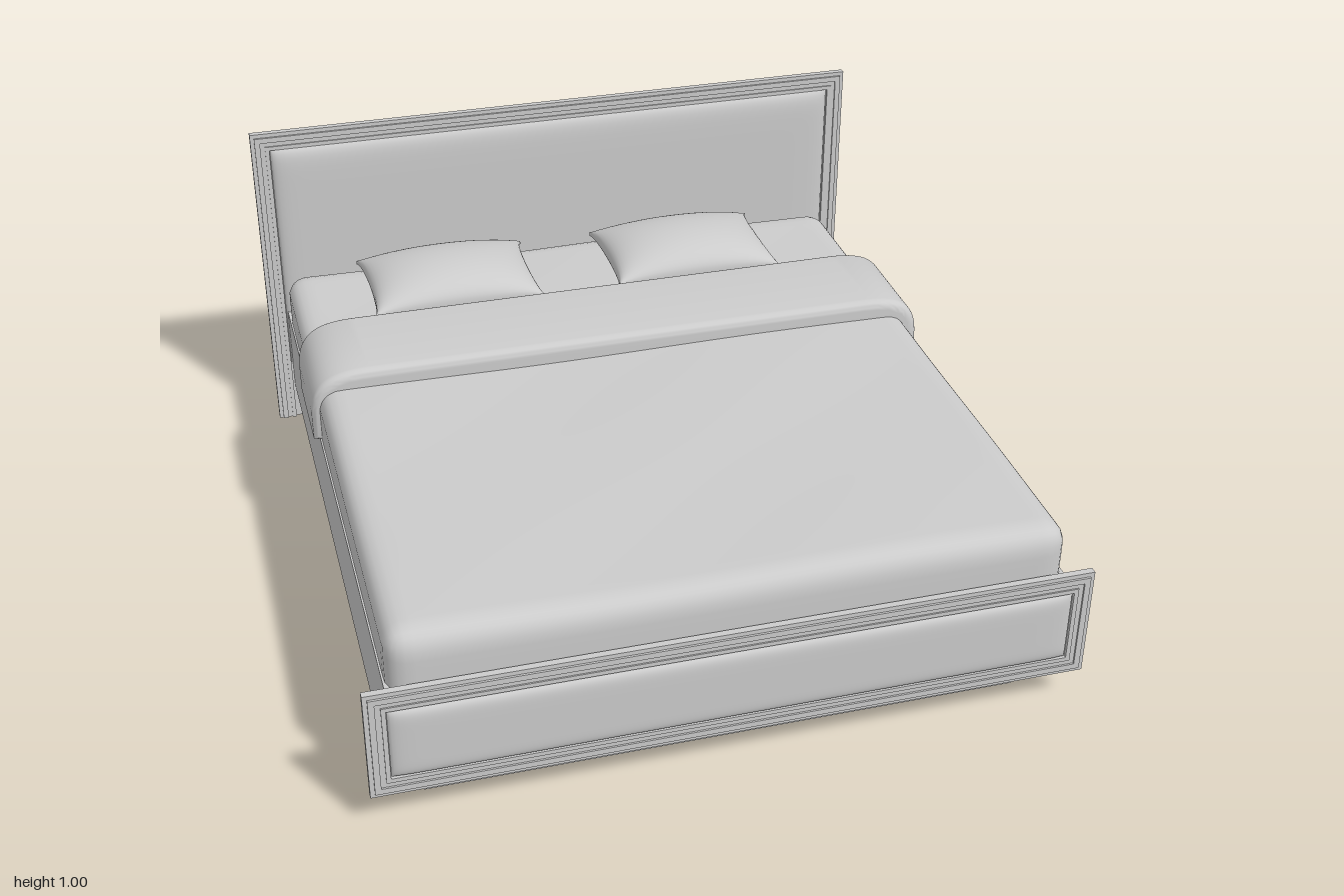
import * as THREE from 'three';
import { mergeVertices, toCreasedNormals } from 'three/addons/utils/BufferGeometryUtils.js';

const material = new THREE.MeshStandardMaterial({ color: 0xcccccc });
const thinMaterial = new THREE.MeshStandardMaterial({ color: 0xcccccc, side: THREE.DoubleSide });

function add(parent, name, geometry, x = 0, y = 0, z = 0, mat = material) {
  const mesh = new THREE.Mesh(geometry, mat);
  mesh.name = name;
  mesh.position.set(x, y, z);
  parent.add(mesh);
  return mesh;
}

// Box given by its minimum and maximum corners
function box(parent, name, [x0, y0, z0], [x1, y1, z1]) {
  return add(parent, name, new THREE.BoxGeometry(x1 - x0, y1 - y0, z1 - z0),
    (x0 + x1) / 2, (y0 + y1) / 2, (z0 + z1) / 2);
}

// Merge split vertices so a reshaped surface shades smoothly
function smooth(geometry) {
  geometry.deleteAttribute('normal');
  geometry.deleteAttribute('uv');
  const merged = mergeVertices(geometry, 1e-5);
  merged.computeVertexNormals();
  return merged;
}

function reshape(geometry, rule) {
  const pos = geometry.attributes.position;
  const v = new THREE.Vector3();
  for (let i = 0; i < pos.count; i++) {
    rule(v.fromBufferAttribute(pos, i));
    pos.setXYZ(i, v.x, v.y, v.z);
  }
  return smooth(geometry);
}

// One moulding strip between two insets; an open one runs down to the floor
function moulding(w, y0, y1, a, b, depth, open) {
  const o = w - a, i = w - b;
  const pts = (list) => list.map(([x, y]) => new THREE.Vector2(x, y));
  let shape;
  if (open) {
    shape = new THREE.Shape(pts([[-o, y0], [-i, y0], [-i, y1 - b], [i, y1 - b],
      [i, y0], [o, y0], [o, y1 - a], [-o, y1 - a]]));
  } else {
    shape = new THREE.Shape(pts([[-o, y0 + a], [o, y0 + a], [o, y1 - a], [-o, y1 - a]]));
    shape.holes.push(new THREE.Path(pts([[-i, y0 + b], [-i, y1 - b], [i, y1 - b], [i, y0 + b]])));
  }
  return new THREE.ExtrudeGeometry(shape, { depth, bevelEnabled: false });
}

// Upholstered panel: flat in the middle, rounding down to its border
function pad(w, h, depth, px, py) {
  const ease = (t) => Math.sin(t * Math.PI / 2);
  return reshape(new THREE.PlaneGeometry(2, 2, 48, 32), (v) => {
    const u = ease(v.x), t = ease(v.y);
    const f = Math.max(0, (1 - Math.abs(u) ** px) * (1 - Math.abs(t) ** py));
    v.set(u * w / 2, t * h / 2, depth * Math.sqrt(f));
  });
}

// Framed board with stepped mouldings and a padded centre
function board(name, w, y0, y1, z, open, padY, padDepth, py) {
  const group = new THREE.Group();
  group.name = name;
  box(group, name + 'Back', [-w, y0, 0], [w, y1, 0.015]);
  const strips = [[0, 0.012, 0.019], [0.012, 0.028, 0.025], [0.028, 0.042, 0.02], [0.042, 0.054, 0.024]];
  strips.forEach(([a, b, d]) => add(group, name + 'Moulding', moulding(w, y0, y1, a, b, d, open)));
  const padW = 2 * (w - 0.056);
  add(group, name + 'Pad', pad(padW, padY[1] - padY[0], padDepth, 34, py),
    0, (padY[0] + padY[1]) / 2, 0.015, thinMaterial);
  group.position.z = z;
  return group;
}

// Mattress with rounded edges, gentle waves and a lower head end
function mattressGeometry() {
  const half = new THREE.Vector3(0.88, 0.125, 0.963), r = 0.06;
  const lim = half.clone().subScalar(r), inner = new THREE.Vector3();
  const g = new THREE.BoxGeometry(half.x * 2, half.y * 2, half.z * 2, 72, 10, 80);
  return reshape(g, (v) => {
    inner.copy(v).clamp(lim.clone().negate(), lim);
    v.sub(inner).setLength(r).add(inner);
    if (v.y > 0) {
      const head = THREE.MathUtils.smoothstep(-v.z, 0.3, 0.6);
      v.y += (v.y / half.y) * (0.004 * Math.sin(v.x * 5 + v.z * 3) * Math.cos(v.z * 4) - 0.018 * head);
    }
  });
}

// Folded cover draped over the mattress
function throwGeometry() {
  const s = new THREE.Shape();
  s.moveTo(-0.912, 0.39);
  s.lineTo(0.912, 0.39);
  s.lineTo(0.912, 0.46);
  s.bezierCurveTo(0.912, 0.56, 0.87, 0.603, 0.74, 0.603);
  s.lineTo(-0.74, 0.603);
  s.bezierCurveTo(-0.87, 0.603, -0.912, 0.56, -0.912, 0.46);
  const bevel = 0.026;
  const g = new THREE.ExtrudeGeometry(s, {
    depth: 0.33 - 2 * bevel, curveSegments: 16, bevelSegments: 6,
    bevelSize: bevel, bevelThickness: bevel, bevelOffset: -bevel,
  });
  return toCreasedNormals(g, 0.6);
}

// Pillow: two bulging sheets joined at a seam with pinched sides
function pillowGeometry() {
  const n = 28;
  return reshape(new THREE.BoxGeometry(2, 2, 2, n, 2, n), (v) => {
    const side = v.y;
    const u = Math.sin(v.x * Math.PI / 2), t = Math.sin(v.z * Math.PI / 2);
    const eu = Math.max(0, 1 - u * u), et = Math.max(0, 1 - t * t);
    const puff = Math.pow(eu * et, 0.45);
    v.x = 0.26 * u * (1 - 0.07 * Math.sqrt(et));
    v.z = 0.185 * t * (1 - 0.09 * Math.sqrt(eu));
    v.y = side * (side > 0 ? 0.082 : 0.045) * puff + side * 0.006;
  });
}

export function createModel() {
  const bed = new THREE.Group();
  bed.name = 'bed';

  // Headboard and footboard
  bed.add(board('headboard', 0.945, 0, 1, -1, true, [0.2, 0.946], 0.023, 16));
  bed.add(board('footboard', 0.945, 0.1, 0.418, 0.967, false, [0.156, 0.362], 0.018, 8));

  // Side rails, plinth walls and the brackets between them
  for (const s of [-1, 1]) {
    const rail = (name, a, b, y0, y1, z0, z1) =>
      box(bed, name, [Math.min(s * a, s * b), y0, z0], [Math.max(s * a, s * b), y1, z1]);
    rail('sideRail', 0.862, 0.885, 0.11, 0.39, -0.985, 0.967);
    rail('plinthSide', 0.78, 0.8, 0, 0.37, -0.985, 0.88);
    for (const z of [-0.78, -0.2, 0.8]) rail('bracket', 0.8, 0.862, 0.135, 0.155, z - 0.03, z + 0.03);
  }
  box(bed, 'plinthFront', [-0.8, 0, 0.86], [0.8, 0.37, 0.88]);
  box(bed, 'plinthDivider', [-0.78, 0, -0.03], [0.78, 0.3, -0.01]);
  box(bed, 'bottomPanel', [-0.78, 0.006, -0.985], [0.78, 0.02, 0.86]);
  box(bed, 'mattressDeck', [-0.862, 0.29, -0.985], [0.862, 0.31, 0.967]);

  // Bedding
  add(bed, 'mattress', mattressGeometry(), 0, 0.423, -0.003);
  add(bed, 'foldedCover', throwGeometry(), 0.01, 0, -0.52 + 0.026);
  for (const x of [-0.405, 0.34]) add(bed, 'pillow', pillowGeometry(), x, 0.573, -0.715);

  return bed;
}
